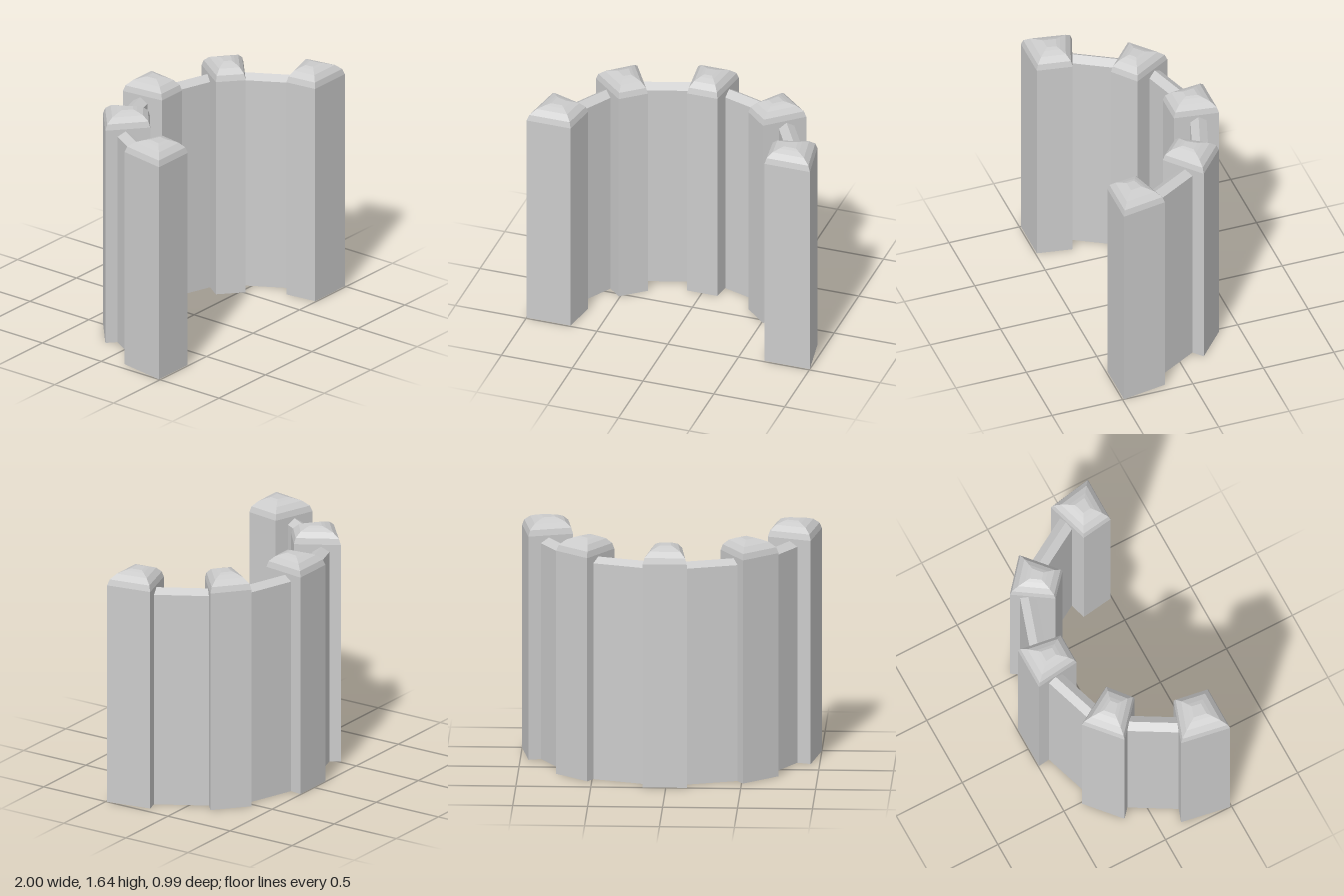
import * as THREE from 'three';

const material = new THREE.MeshStandardMaterial({ color: 0xcccccc, flatShading: true });

// Cap profile: [height, scale of the footprint about its centre]
const RINGS = [[0, 1], [1.54, 1], [1.58, 0.92], [1.615, 0.69], [1.632, 0.43], [1.64, 0.26]];

// Post footprints as [x, z] corners, counterclockwise seen from above
const POSTS = {
  rightEndPost: [[-1, 0.49], [-0.69, 0.49], [-0.65, 0.25], [-0.94, 0.15]],
  rightMiddlePost: [[-0.51, 0.03], [-0.35, -0.1], [-0.51, -0.37], [-0.74, -0.17]],
  centrePost: [[-0.105, -0.19], [0.11, -0.19], [0.155, -0.495], [-0.14, -0.495]],
  leftMiddlePost: [[0.51, 0.035], [0.745, -0.17], [0.53, -0.355], [0.36, -0.1]],
  leftEndPost: [[0.68, 0.49], [1, 0.49], [0.945, 0.18], [0.65, 0.27]],
};

// Centre line of the wall, from one end post to the other
const WALL_PATH = [[-0.85, 0.29], [-0.555, -0.22], [0, -0.4], [0.555, -0.22], [0.85, 0.29]];

// Four-sided pillar with a rounded, faceted cap
function post(name, corners) {
  const cx = corners.reduce((s, c) => s + c[0], 0) / 4;
  const cz = corners.reduce((s, c) => s + c[1], 0) / 4;
  const positions = [];
  const index = [];
  for (const [y, k] of RINGS) {
    for (const [x, z] of corners) positions.push(cx + (x - cx) * k, y, cz + (z - cz) * k);
  }
  for (let r = 0; r < RINGS.length - 1; r++) {
    for (let i = 0; i < 4; i++) {
      const a = r * 4 + i, b = r * 4 + (i + 1) % 4;
      index.push(a, b, b + 4, a, b + 4, a + 4);
    }
  }
  const t = (RINGS.length - 1) * 4;
  index.push(t, t + 1, t + 2, t, t + 2, t + 3, 0, 2, 1, 0, 3, 2);
  let geometry = new THREE.BufferGeometry();
  geometry.setAttribute('position', new THREE.Float32BufferAttribute(positions, 3));
  geometry.setIndex(index);
  geometry = geometry.toNonIndexed();
  geometry.computeVertexNormals();
  const mesh = new THREE.Mesh(geometry, material);
  mesh.name = name;
  return mesh;
}

// Thin wall panel with a gabled top, running between two plan points
function wallPanel(name, [x0, z0], [x1, z1]) {
  const h = 0.054;
  const section = new THREE.Shape([
    new THREE.Vector2(-h, 0), new THREE.Vector2(h, 0), new THREE.Vector2(h, 1.49),
    new THREE.Vector2(0, 1.525), new THREE.Vector2(-h, 1.49),
  ]);
  const depth = Math.hypot(x1 - x0, z1 - z0);
  const geometry = new THREE.ExtrudeGeometry(section, { depth, bevelEnabled: false });
  const mesh = new THREE.Mesh(geometry, material);
  mesh.position.set(x0, 0, z0);
  mesh.rotation.y = Math.atan2(x1 - x0, z1 - z0);
  mesh.name = name;
  return mesh;
}

export function createModel() {
  const model = new THREE.Group();
  model.name = 'curvedWall';
  for (const [name, corners] of Object.entries(POSTS)) model.add(post(name, corners));
  for (let i = 0; i < WALL_PATH.length - 1; i++) {
    model.add(wallPanel(`wallPanel${i + 1}`, WALL_PATH[i], WALL_PATH[i + 1]));
  }
  return model;
}
